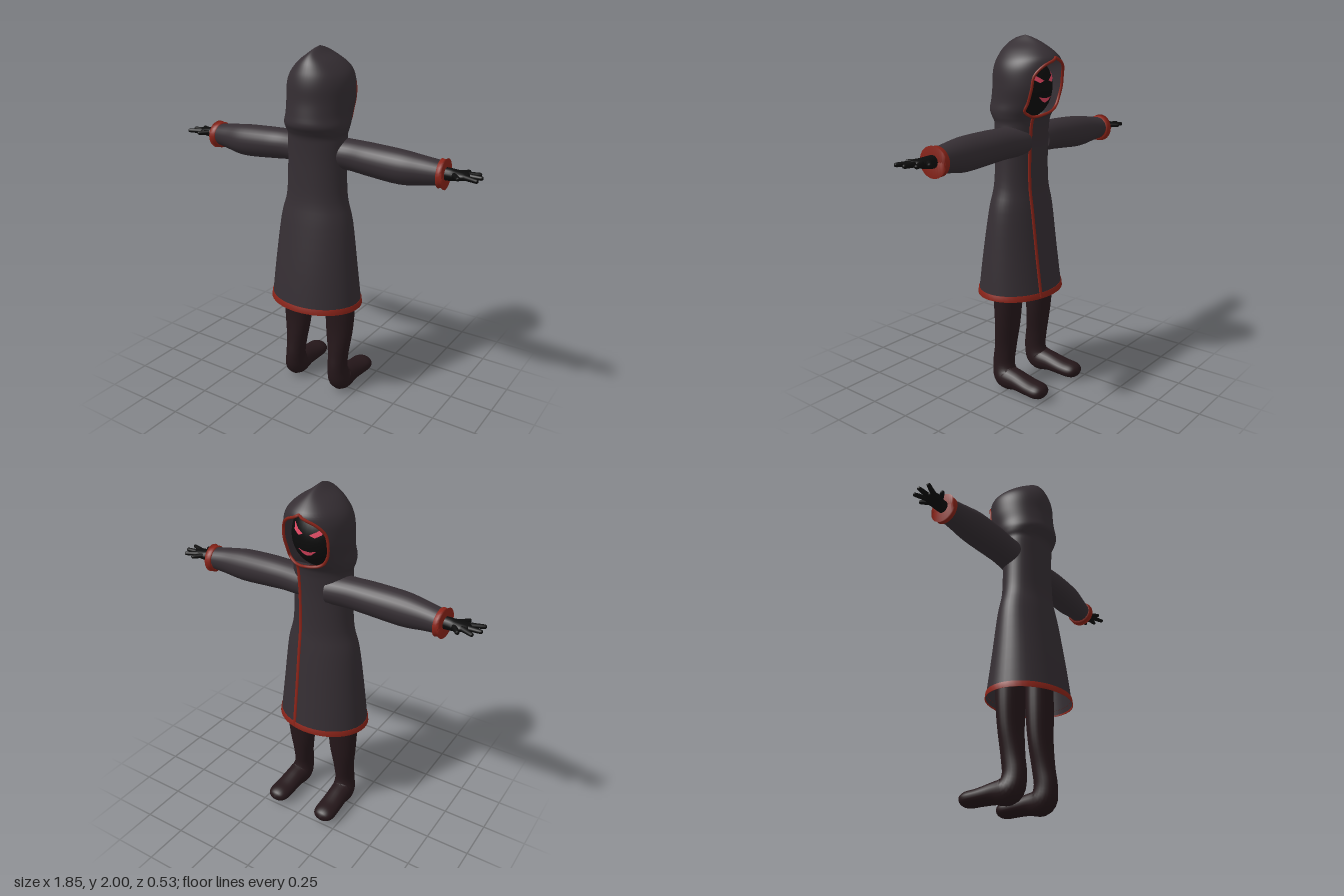
import * as THREE from 'three';
import { mergeVertices } from 'three/addons/utils/BufferGeometryUtils.js';

const mat = (color) => new THREE.MeshStandardMaterial({ color, roughness: 0.9, side: THREE.DoubleSide });
const X = new THREE.Vector3(1, 0, 0);
const Z = new THREE.Vector3(0, 0, 1);

// Catmull-Rom through rows of numbers, n steps per span
function smooth(rows, n) {
  const out = [];
  const at = (i) => rows[Math.min(Math.max(i, 0), rows.length - 1)];
  for (let i = 0; i < rows.length - 1; i++) {
    for (let k = 0; k < n; k++) {
      const t = k / n;
      out.push(rows[i].map((b, c) => {
        const a = at(i - 1)[c], d = at(i + 1)[c], e = at(i + 2)[c];
        return b + 0.5 * t * (d - a + t * (2 * a - 5 * b + 4 * d - e + t * (3 * (b - d) + e - a)));
      }));
    }
  }
  out.push(rows[rows.length - 1]);
  return out;
}

// Skin elliptical rings; row = [x, y, z, radiusU, radiusV, halfGap, gapShift]
function sweep(rows, u, segs, level = false) {
  const pos = [], index = [];
  const centre = (r) => new THREE.Vector3(r[0], r[1], r[2]);
  rows.forEach((r, i) => {
    const T = level ? new THREE.Vector3(0, 1, 0)
      : centre(rows[Math.min(i + 1, rows.length - 1)]).sub(centre(rows[Math.max(i - 1, 0)])).normalize();
    const v = T.cross(u).normalize();
    const gap = Math.max(r[5] || 0, 0), shift = r[6] || 0;
    for (let j = 0; j <= segs; j++) {
      const t = Math.PI / 2 - shift + gap + (2 * Math.PI - 2 * gap) * j / segs;
      const p = centre(r)
        .addScaledVector(u, Math.max(r[3], 0.0005) * Math.cos(t))
        .addScaledVector(v, Math.max(r[4], 0.0005) * Math.sin(t));
      pos.push(p.x, p.y, p.z);
    }
    if (i === 0) return;
    for (let j = 0; j < segs; j++) {
      const a = (i - 1) * (segs + 1) + j, c = a + segs + 1;
      index.push(a, a + 1, c, a + 1, c + 1, c);
    }
  });
  let g = new THREE.BufferGeometry();
  g.setAttribute('position', new THREE.Float32BufferAttribute(pos, 3));
  g.setIndex(index);
  g = mergeVertices(g, 1e-5);
  g.computeVertexNormals();
  return g;
}

export function createModel() {
  const root = new THREE.Group();
  const coatMat = mat(0x352e33), trimMat = mat(0x8a2318), legMat = mat(0x25171a);
  const skinMat = mat(0x0c0c0c), glowMat = mat(0xe04560);
  const add = (name, geometry, material, parent = root) => {
    const m = new THREE.Mesh(geometry, material);
    m.name = name;
    parent.add(m);
    return m;
  };

  // Coat and hood: y, half width, z of opening side, z of other side, half gap, gap shift
  const profile = [
    [0.58, 0.27, -0.17, 0.26, 0, 0.43], [0.8, 0.248, -0.14, 0.23, 0, 0.43],
    [1.06, 0.218, -0.108, 0.188, 0, 0.43], [1.2, 0.182, -0.092, 0.166, 0, 0.43],
    [1.38, 0.172, -0.092, 0.162, 0, 0.43], [1.5, 0.172, -0.1, 0.165, 0, 0.43],
    [1.545, 0.17, -0.106, 0.17, 0, 0.43], [1.575, 0.178, -0.115, 0.185, 0, 0.43],
    [1.61, 0.182, -0.14, 0.204, 0.6, 0.2], [1.66, 0.178, -0.17, 0.198, 0.78, 0.05],
    [1.73, 0.182, -0.195, 0.188, 0.82, 0], [1.8, 0.18, -0.2, 0.186, 0.76, 0],
    [1.85, 0.168, -0.2, 0.178, 0.5, 0], [1.89, 0.143, -0.19, 0.164, 0, 0],
    [1.93, 0.1, -0.148, 0.143, 0, 0], [1.965, 0.046, -0.095, 0.11, 0, 0],
    [1.988, 0.016, -0.04, 0.065, 0, 0], [2, 0.001, 0.005, 0.015, 0, 0],
  ].map(([y, rx, zf, zb, gap, shift]) => [0, y, (zf + zb) / 2, rx, (zb - zf) / 2, gap, shift]);
  const coat = smooth(profile, 4);
  add('hoodedCoat', sweep(coat, X, 48, true), coatMat);

  // Hem band
  const hem = [[0.573, 0.272, 0.217], [0.573, 0.276, 0.22], [0.605, 0.272, 0.216], [0.605, 0.265, 0.21]]
    .map(([y, rx, rz]) => [0, y, 0.045, rx, rz]);
  add('hemTrim', sweep(hem, X, 48, true), trimMat);

  // Trim down the coat opening, set to one side
  const seam = coat.filter((r) => r[1] < 1.58).map((r) => {
    const c = Math.sqrt(1 - (0.075 / r[3]) ** 2);
    return [0.075, r[1], r[2] - r[4] * c, 0.011, 0.007];
  });
  add('openingTrim', sweep(seam, X, 8), trimMat);

  // Trim round the hood opening
  const rim = coat.filter((r) => r[5] > 0.02);
  const edge = (r, s) => {
    const t = r[6] + s * r[5];
    return new THREE.Vector3(r[3] * Math.sin(t), r[1], r[2] - r[4] * Math.cos(t));
  };
  const loop = [...rim.map((r) => edge(r, 1)), new THREE.Vector3(0, 1.89, -0.188),
    ...rim.map((r) => edge(r, -1)).reverse()];
  add('hoodTrim', new THREE.TubeGeometry(new THREE.CatmullRomCurve3(loop, true), 90, 0.008, 6, true), trimMat);

  // Dark head inside the hood
  const headY = 1.73, hr = [0.155, 0.17, 0.13];
  const head = add('head', new THREE.SphereGeometry(1, 32, 24), skinMat);
  head.scale.set(...hr);
  head.position.y = headY;

  // Glowing eyes and mouth laid on the face
  const faceMark = (name, pts) => {
    const g = new THREE.ShapeGeometry(new THREE.Shape(pts.map((p) => new THREE.Vector2(...p))));
    const p = g.attributes.position;
    for (let i = 0; i < p.count; i++) {
      const k = 1 - (p.getX(i) / hr[0]) ** 2 - ((p.getY(i) - headY) / hr[1]) ** 2;
      p.setZ(i, -hr[2] * Math.sqrt(k) - 0.007);
    }
    g.computeVertexNormals();
    add(name, g, glowMat);
  };
  for (const s of [1, -1]) {
    faceMark(s > 0 ? 'leftEye' : 'rightEye',
      [[0.018, 1.768], [0.05, 1.757], [0.082, 1.775], [0.09, 1.812], [0.055, 1.788]].map(([x, y]) => [x * s, y]));
  }
  faceMark('mouth', [[-0.055, 1.685], [-0.025, 1.66], [0, 1.652], [0.025, 1.66], [0.055, 1.685], [0.02, 1.677], [-0.02, 1.677]]);

  for (const s of [1, -1]) {
    const side = s > 0 ? 'left' : 'right';
    const limb = (rows, n) => smooth(rows.map(([x, ...r]) => [x * s, ...r]), n);

    // Sleeve and flared cuff
    const arm = new THREE.Group();
    arm.name = side + 'Arm';
    root.add(arm);
    add('sleeve', sweep(limb([
      [0.08, 1.445, 0, 0.1, 0.085], [0.2, 1.445, 0, 0.088, 0.084], [0.32, 1.44, 0.006, 0.09, 0.088],
      [0.5, 1.43, 0.01, 0.086, 0.09], [0.62, 1.43, 0.002, 0.073, 0.075], [0.71, 1.43, -0.008, 0.066, 0.062],
    ], 5), Z, 28), coatMat, arm);
    const cuff = add('cuff', sweep([
      [0.7, 1.427, -0.01, 0.066, 0.064], [0.703, 1.427, -0.01, 0.077, 0.076], [0.718, 1.427, -0.01, 0.073, 0.071],
      [0.735, 1.427, -0.01, 0.08, 0.08], [0.733, 1.427, -0.01, 0.072, 0.072], [0.69, 1.427, -0.01, 0.06, 0.058],
    ].map(([x, ...r]) => [x * s, ...r]), Z, 28, false), trimMat, arm);
    // Slant the cuff so its far edge leans outward
    const cp = cuff.geometry.attributes.position;
    for (let i = 0; i < cp.count; i++) cp.setX(i, cp.getX(i) + s * 0.08 * cp.getZ(i));
    cuff.geometry.computeVertexNormals();

    // Hand with five splayed fingers
    add('palm', sweep(limb([
      [0.6, 1.43, -0.005, 0.035, 0.035], [0.74, 1.43, -0.008, 0.033, 0.033], [0.79, 1.432, -0.008, 0.042, 0.027],
      [0.83, 1.435, -0.005, 0.042, 0.021], [0.855, 1.436, -0.003, 0.025, 0.014], [0.862, 1.436, -0.003, 0.001, 0.001],
    ], 4), Z, 16), skinMat, arm);
    const fingers = [
      ['thumb', 0.775, -0.02, 0.83, -0.088], ['indexFinger', 0.82, -0.028, 0.897, -0.067],
      ['middleFinger', 0.83, -0.012, 0.925, -0.012], ['ringFinger', 0.825, 0.012, 0.922, 0.05],
      ['littleFinger', 0.785, 0.015, 0.832, 0.07],
    ];
    for (const [name, x0, z0, x1, z1] of fingers) {
      const rows = [[0, 0.016], [0.5, 0.013], [0.9, 0.011], [0.98, 0.007], [1, 0.001]]
        .map(([t, r]) => [x0 + (x1 - x0) * t, 1.436, z0 + (z1 - z0) * t, r, r]);
      add(name, sweep(limb(rows, 2), new THREE.Vector3(0, 1, 0), 10), skinMat, arm);
    }

    // Leg bending into a rounded foot
    add(side + 'Leg', sweep(limb([
      [0.145, 0.85, 0.02, 0.085, 0.075], [0.145, 0.58, 0.02, 0.09, 0.075], [0.145, 0.4, 0.025, 0.082, 0.066],
      [0.147, 0.25, 0.04, 0.06, 0.064], [0.15, 0.15, 0.05, 0.056, 0.067], [0.157, 0.078, 0.025, 0.068, 0.075],
      [0.16, 0.07, -0.06, 0.064, 0.057], [0.163, 0.06, -0.15, 0.066, 0.046], [0.165, 0.056, -0.215, 0.064, 0.043],
      [0.165, 0.056, -0.25, 0.044, 0.029], [0.165, 0.056, -0.265, 0.001, 0.001],
    ], 5), X, 24), legMat);
  }
  return root;
}
